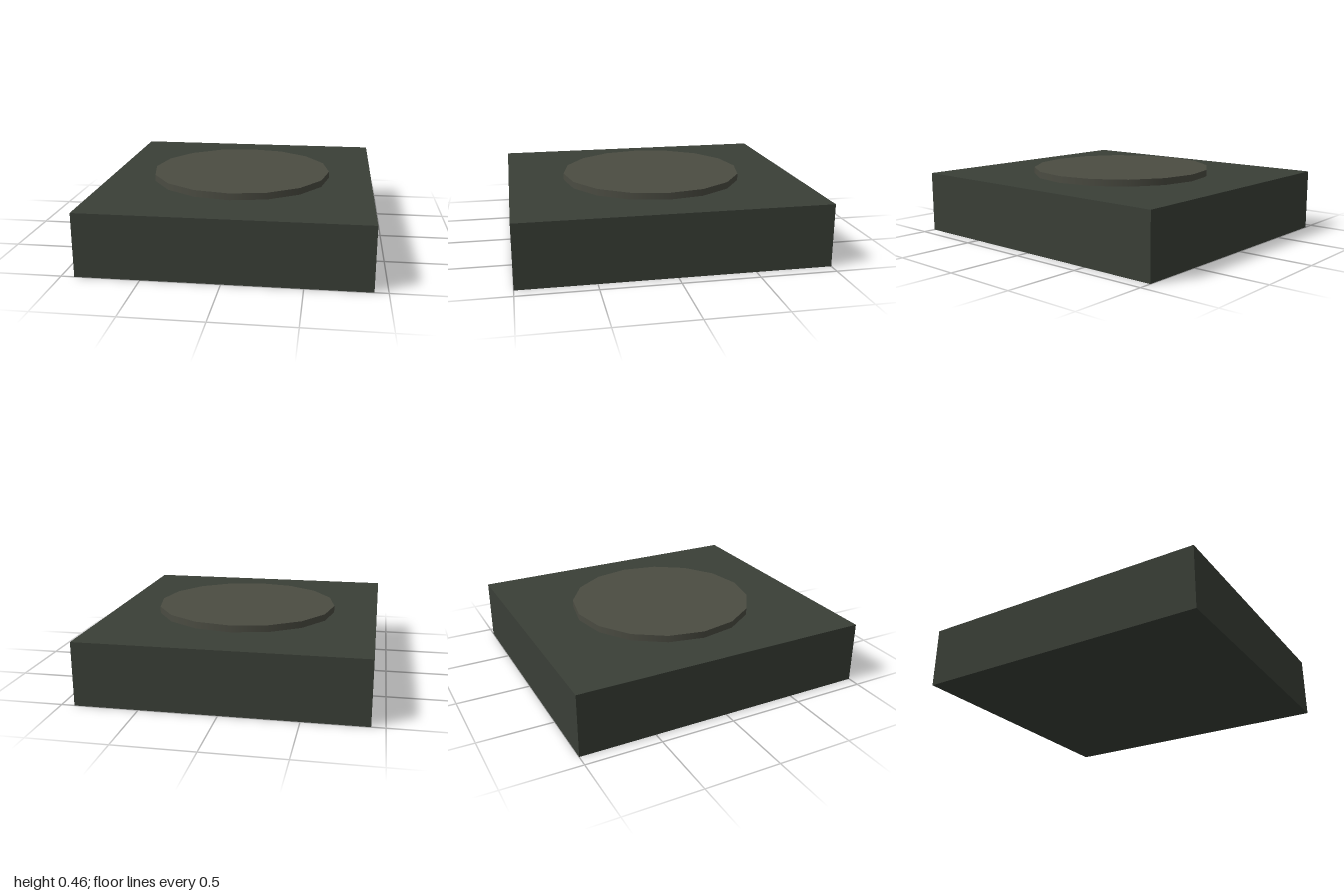
import * as THREE from 'three';

const BASE = { width: 1.83, height: 0.415, depth: 2 };
const DISC = { radius: 0.62, top: 0.46, sides: 16 };

function addPart(group, name, geometry, color, y) {
  const mesh = new THREE.Mesh(geometry, new THREE.MeshStandardMaterial({ color }));
  mesh.name = name;
  mesh.position.y = y;
  group.add(mesh);
}

export function createModel() {
  const model = new THREE.Group();
  model.name = 'plinthWithDisc';

  // Solid rectangular base
  addPart(model, 'base', new THREE.BoxGeometry(BASE.width, BASE.height, BASE.depth), 0x3a3f37, BASE.height / 2);

  // Low round plate resting on the base
  const thickness = DISC.top - BASE.height;
  addPart(
    model,
    'topDisc',
    new THREE.CylinderGeometry(DISC.radius, DISC.radius, thickness, DISC.sides),
    0x4b4c42,
    BASE.height + thickness / 2
  );

  return model;
}
